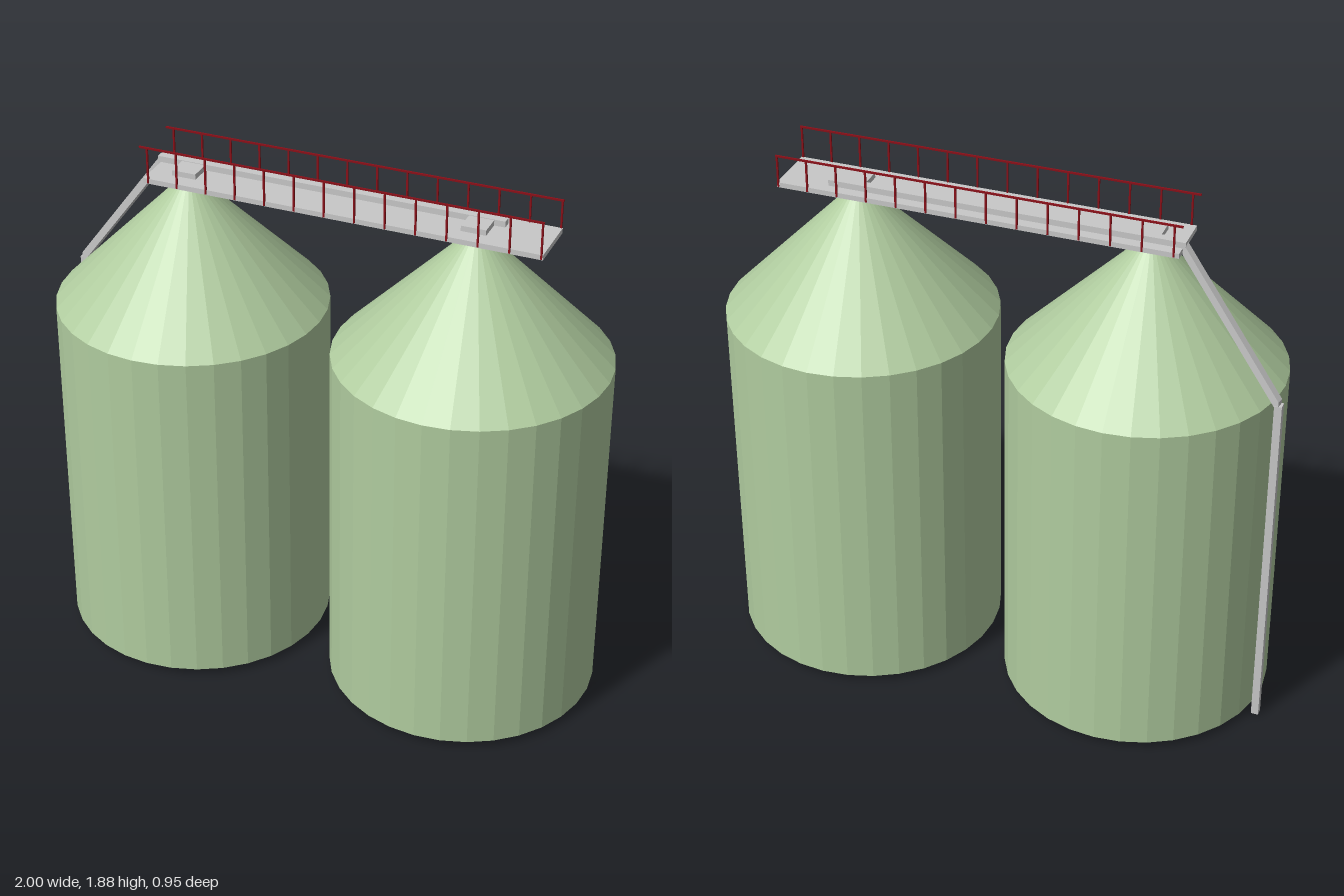
import * as THREE from 'three';

const green = new THREE.MeshStandardMaterial({ name: 'silo green', color: 0xb0cc9f, flatShading: true, side: THREE.DoubleSide });
const grey = new THREE.MeshStandardMaterial({ name: 'galvanised grey', color: 0xc8c8c8 });
const red = new THREE.MeshStandardMaterial({ name: 'railing red', color: 0x8a0f18 });

// Box given by its minimum and maximum corners
function box(name, min, max, material) {
  const geometry = new THREE.BoxGeometry(max[0] - min[0], max[1] - min[1], max[2] - min[2]);
  const mesh = new THREE.Mesh(geometry, material);
  mesh.position.set((min[0] + max[0]) / 2, (min[1] + max[1]) / 2, (min[2] + max[2]) / 2);
  mesh.name = name;
  return mesh;
}

// Open-bottomed silo: faceted wall and conical roof
function createSilo(name, x) {
  const silo = new THREE.Group();
  silo.name = name;
  const R = 0.474, base = 0.025, eave = 1.29, top = 1.755;
  const wall = new THREE.Mesh(new THREE.CylinderGeometry(R, R, eave - base, 32, 1, true), green);
  wall.name = 'wall';
  wall.position.y = (base + eave) / 2;
  const roof = new THREE.Mesh(new THREE.CylinderGeometry(0.018, R, top - eave, 32, 1, true), green);
  roof.name = 'roof';
  roof.position.y = (eave + top) / 2;
  silo.add(wall, roof);
  silo.position.x = x;
  return silo;
}

// Handrail with evenly spaced posts along one side of the walkway
function createRailing(name, z, top) {
  const railing = new THREE.Group();
  railing.name = name;
  const t = 0.003;
  railing.add(box('handrail', [-0.635, top - 2 * t, z - t], [0.775, top, z + t], red));
  for (let i = 0; i < 14; i++) {
    const x = -0.607 + i * 0.1059;
    railing.add(box('post', [x - t, 1.75, z - t], [x + t, top - t, z + t], red));
  }
  return railing;
}

// Square duct whose ends lie on vertical planes, running between two points
function createSlopedDuct(a, b, w, h) {
  const geometry = new THREE.BoxGeometry(1, 1, 1);
  const p = geometry.attributes.position;
  const side = new THREE.Vector3(a.z - b.z, 0, b.x - a.x).normalize();
  for (let i = 0; i < p.count; i++) {
    const c = a.clone().lerp(b, p.getX(i) + 0.5);
    c.addScaledVector(side, p.getZ(i) * w);
    c.y += p.getY(i) * h;
    p.setXYZ(i, c.x, c.y, c.z);
  }
  geometry.computeVertexNormals();
  const mesh = new THREE.Mesh(geometry, grey);
  mesh.name = 'slopedDuct';
  return mesh;
}

export function createModel() {
  const model = new THREE.Group();
  model.name = 'twinSilos';
  model.add(createSilo('rightSilo', -0.504), createSilo('leftSilo', 0.521));

  // Walkway and its railings
  model.add(box('walkway', [-0.625, 1.747, -0.1], [0.775, 1.765, 0.1], grey));
  model.add(createRailing('frontRailing', 0.1, 1.881));
  model.add(createRailing('backRailing', -0.1, 1.866));

  // Conveyor along the walkway with an outlet over each silo
  model.add(box('conveyor', [-0.635, 1.76, -0.062], [0.604, 1.786, -0.032], grey));
  for (const x of [-0.502, 0.523]) {
    model.add(box('outlet', [x - 0.043, 1.76, -0.032], [x + 0.043, 1.784, 0.045], grey));
  }

  // Elevator duct: vertical leg and slope up to the conveyor
  model.add(box('verticalDuct', [-1, 0, -0.133], [-0.974, 1.29, -0.105], grey));
  model.add(createSlopedDuct(new THREE.Vector3(-0.99, 1.285, -0.119), new THREE.Vector3(-0.628, 1.762, -0.047), 0.027, 0.042));
  return model;
}
